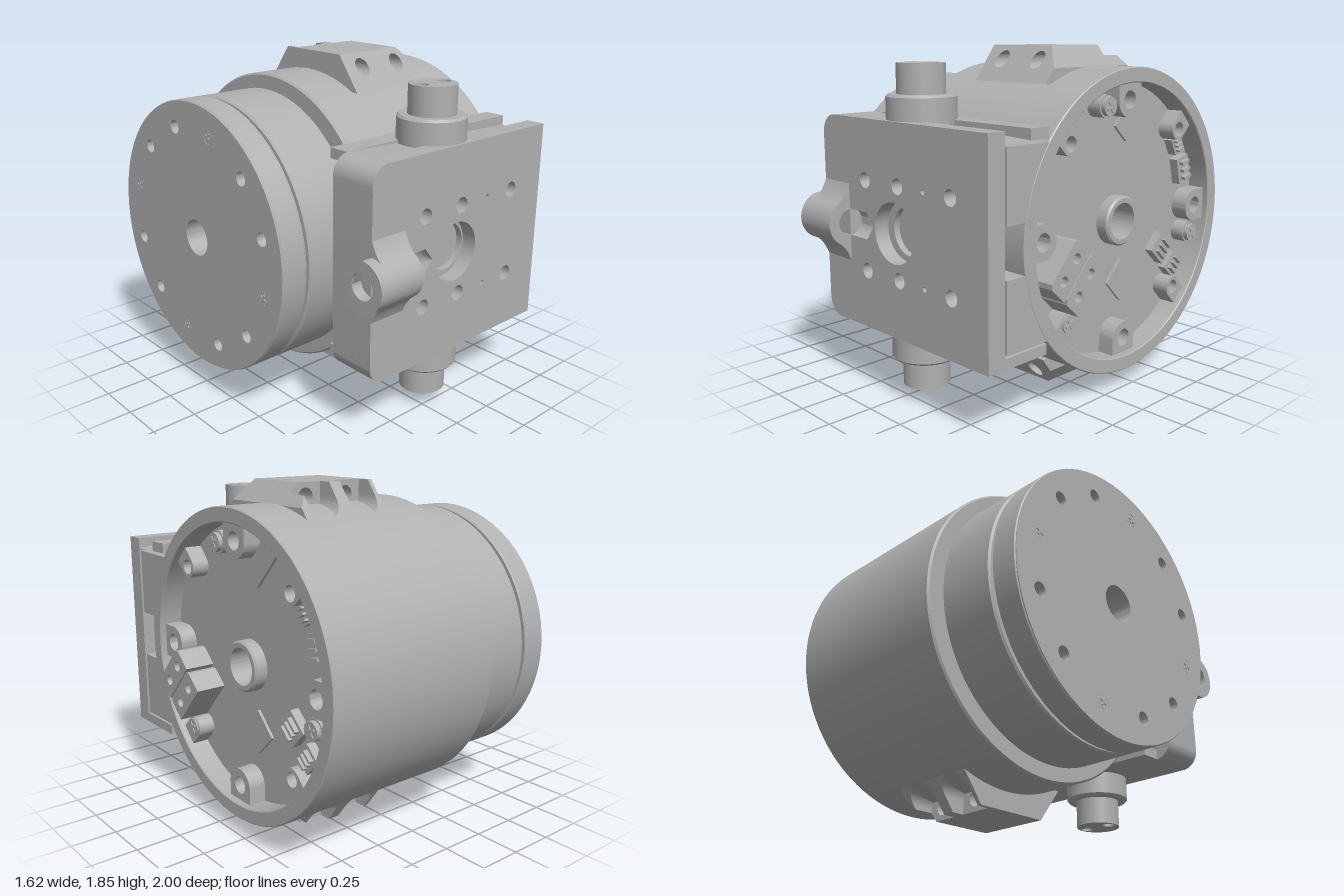
import * as THREE from 'three';
import { toCreasedNormals } from 'three/addons/utils/BufferGeometryUtils.js';

const CY = 0.925, CZ = -0.18;            // motor axis runs along x
const metal = new THREE.MeshStandardMaterial({ name: 'greyMetal', color: 0xb0b0b0, side: THREE.DoubleSide });

const V = (x, y) => new THREE.Vector2(x, y);
const poly = (pts) => new THREE.Shape(pts.map(([x, y]) => V(x, y)));
const circle = (x, y, r) => new THREE.Path().absarc(x, y, r, 0, Math.PI * 2, false);
const disc = (x, y, r) => new THREE.Shape().absarc(x, y, r, 0, Math.PI * 2, false);

function add(parent, name, geo, x = 0, y = 0, z = 0) {
  const m = new THREE.Mesh(toCreasedNormals(geo, 0.5), metal);
  m.name = name;
  m.position.set(x, y, z);
  parent.add(m);
  return m;
}
const extrude = (shape, depth) =>
  new THREE.ExtrudeGeometry(shape, { depth, bevelEnabled: false, curveSegments: 32 });
// shape drawn in (-z, y), swept from x0 to x1
const sweepX = (shape, x0, x1) => extrude(shape, x1 - x0).rotateY(Math.PI / 2).translate(x0, 0, 0);
// shape drawn in (x, y), swept from z0 to z1
const sweepZ = (shape, z0, z1) => extrude(shape, z1 - z0).translate(0, 0, z0);
// closed profile of [radius, x] turned about the x axis
const turnX = (pts) => new THREE.LatheGeometry(pts.map(([r, x]) => V(r, x)), 96).rotateZ(-Math.PI / 2);
const box = (x, y, z) => new THREE.BoxGeometry(x, y, z);

function screw(parent, x, y, z, r, dir = 1) {
  const g = new THREE.Group();
  g.name = 'screw';
  add(g, 'screwHead', new THREE.CylinderGeometry(r, r, 0.03, 20).rotateZ(Math.PI / 2));
  for (const a of [0.5, 0.5 + Math.PI / 2])
    add(g, 'screwCross', box(0.008, r * 1.3, r * 0.3), dir * 0.016).rotation.x = a;
  g.position.set(x, y, z);
  parent.add(g);
}

function buildMotor() {
  const g = new THREE.Group();
  g.name = 'motor';
  g.position.set(0, CY, CZ);
  add(g, 'housing', turnX([[0.1, -0.3], [0.81, -0.3], [0.82, -0.29], [0.82, 0.755], [0.815, 0.76], [0.745, 0.76],
    [0.74, 0.755], [0.74, 0.63], [0.135, 0.63], [0.135, 0.69], [0.125, 0.7], [0.1, 0.7], [0.1, -0.3]]));
  add(g, 'frontDrum', turnX([[0.1, -0.64], [0.73, -0.64], [0.74, -0.63], [0.74, -0.32], [0.73, -0.31], [0.1, -0.31], [0.1, -0.64]]));
  add(g, 'shaftSleeve', turnX([[0.1, -0.67], [0.115, -0.67], [0.115, -0.29], [0.1, -0.29], [0.1, -0.67]]));

  // output flange with a ring of bolt holes
  const face = disc(0, 0, 0.735);
  face.holes.push(circle(0, 0, 0.1));
  for (let i = 0; i < 12; i++) {
    const a = (i + 0.5) * Math.PI / 6, u = Math.cos(a) * 0.6, v = Math.sin(a) * 0.6;
    face.holes.push(circle(u, v, 0.037));
    if (i % 3 === 0) screw(g, -0.795, v, -u, 0.036, -1);
  }
  add(g, 'outputFlange', sweepX(face, -0.81, -0.66));
  add(g, 'flangeRim', turnX([[0.725, -0.81], [0.73, -0.81], [0.74, -0.8], [0.74, -0.67], [0.73, -0.66], [0.725, -0.66]]));

  // screw lugs around the inside of the rear rim
  for (let i = 0; i < 8; i++) {
    const w = i % 2 ? 0.06 : 0.092, r = 0.65;
    const s = new THREE.Shape();
    s.moveTo(0.735, -w);
    s.lineTo(0.735, w);
    s.lineTo(r, w);
    s.absarc(r, 0, w, Math.PI / 2, Math.PI * 1.5, false);
    s.holes.push(circle(r, 0, i % 2 ? 0.04 : 0.048));
    add(g, 'rimLug', sweepX(s, 0.62, 0.725)).rotation.x = i * Math.PI / 4;
  }
  return g;
}

// parts on the circuit board inside the rear recess: [z, y, height x, size y, size z, turn]
function buildBoard() {
  const g = new THREE.Group();
  g.name = 'circuitBoard';
  const put = (name, z, y, h, sy, sz, turn) => {
    const m = add(g, name, box(h, sy, sz), 0.63 + h / 2, y, z);
    m.rotation.x = turn;
    return m;
  };
  put('chipLong', -0.31, 1.49, 0.015, 0.28, 0.13, -0.75);
  put('chipSquare', -0.245, 0.575, 0.015, 0.17, 0.17, 0.78);
  const sockets = [[-0.77, 1.14, 0.15, 0.11, 0.25], [-0.69, 1.29, 0.1, 0.07, 0.5], [-0.58, 0.7, 0.13, 0.14, -0.75], [-0.7, 0.58, 0.12, 0.11, -0.75]];
  for (const [z, y, sy, sz, t] of sockets) {
    put('socketBase', z, y, 0.05, sy, sz, t);
    const pins = new THREE.Group();
    pins.name = 'socketPins';
    for (const k of [-1, 0, 1]) add(pins, 'pin', box(0.03, sy * 0.12, sz * 0.6), 0, k * sy * 0.3, 0);
    pins.position.set(0.69, y, z);
    pins.rotation.x = t;
    g.add(pins);
  }
  // twin power connector standing proud of the rim
  const c = new THREE.Group();
  c.name = 'powerConnector';
  for (const k of [-1, 1]) {
    const s = poly([[-0.145, -0.07], [0.145, -0.07], [0.145, 0.05], [0.125, 0.07], [-0.125, 0.07], [-0.145, 0.05]]);
    for (const u of [-0.068, 0.068]) {
      s.holes.push(circle(u, 0, 0.028));
      add(c, 'contact', new THREE.CylinderGeometry(0.013, 0.013, 0.13, 12).rotateZ(Math.PI / 2), 0.715, k * 0.074, -u);
    }
    const m = add(c, 'connectorHalf', sweepX(s, 0.63, 0.8), 0, k * 0.074, 0);
    if (k < 0) m.rotation.x = 0;
  }
  c.position.set(0, 0.73, 0.3);
  c.rotation.x = 0.83;
  g.add(c);
  for (const [z, y] of [[-0.01, 1.55], [0.28, 0.47], [-0.8, 0.765]]) screw(g, 0.72, y, z, 0.05);
  for (const [z, y] of [[-0.01, 1.55], [-0.8, 0.765]])
    add(g, 'screwPost', new THREE.CylinderGeometry(0.06, 0.06, 0.08, 20).rotateZ(Math.PI / 2), 0.67, y, z);
  return g;
}

// clamp saddle on top of the housing; faces slope outward toward the bottom
function buildSaddle() {
  const g = new THREE.Group();
  g.name = 'clampSaddle';
  const slope = (geo, zEdge, k) => {
    const p = geo.attributes.position;
    for (let i = 0; i < p.count; i++)
      if (Math.abs(p.getZ(i) - zEdge) < 1e-4) p.setZ(i, zEdge + k * (1.85 - p.getY(i)));
    geo.computeVertexNormals();
    return geo;
  };
  const body = poly([[-0.02, 1.66], [0.5, 1.66], [0.5, 1.74], [0.41, 1.85], [-0.02, 1.85]]);
  for (const x of [0.1, 0.36]) body.holes.push(circle(x, 1.777, 0.045));
  add(g, 'saddleBody', slope(sweepZ(body, -0.29, 0.08), 0.08, 0.75));

  // rear part with two round-bottomed pockets for bolt heads
  const rear = new THREE.Shape();
  rear.moveTo(-0.02, 1.62);
  rear.lineTo(0.5, 1.62);
  rear.lineTo(0.5, 1.74);
  rear.lineTo(0.455, 1.795);
  for (const x of [0.36, 0.1]) {
    rear.absarc(x, 1.777, 0.095, 0, -Math.PI, true);
    rear.lineTo(x - 0.095, 1.85);
    if (x > 0.2) rear.lineTo(0.195, 1.85);
  }
  rear.lineTo(-0.02, 1.85);
  add(g, 'boltPockets', slope(sweepZ(rear, -0.36, -0.29), -0.36, -0.75));
  return g;
}

// pivot pin with its collar
function buildPivot() {
  const g = new THREE.Group();
  g.name = 'pivot';
  const ring = [[0, 1.47], [0.18, 1.47], [0.18, 1.605], [0.168, 1.617], [0, 1.617]];
  add(g, 'pivotCollar', new THREE.LatheGeometry(ring.map(([r, y]) => V(r, y)), 64), 0.07, 0, 0.675);
  const pin = disc(0, 0, 0.125);
  for (const x of [-0.083, 0.083]) pin.holes.push(circle(x, 0, 0.034));
  add(g, 'pivotPin', extrude(pin, 0.16).rotateX(-Math.PI / 2), 0.07, 1.61, 0.675);
  return g;
}

function buildBracket() {
  const g = new THREE.Group();
  g.name = 'bracket';
  const yb = 0.37, yt = 1.49, xl = -0.53, xr = 0.76, r = 0.1;
  const outline = () => {
    const s = new THREE.Shape();
    s.moveTo(xr, yb);
    s.lineTo(xr, yt);
    s.absarc(xl + r, yt - r, r, Math.PI / 2, Math.PI, false);
    s.absarc(xl + r, yb + r, r, Math.PI, Math.PI * 1.5, false);
    s.holes.push(circle(0.07, 0.925, 0.16));
    for (const y of [1.17, 0.685]) {
      for (const x of [-0.165, 0.105, 0.505]) s.holes.push(circle(x, y, 0.042));
      s.holes.push(circle(0.305, y, 0.014));
    }
    return s;
  };
  add(g, 'plateBack', sweepZ(outline(), 0.765, 0.8));
  const front = outline();
  front.holes.push(poly([[-0.31, 0.855], [-0.16, 0.855], [-0.105, 0.93], [-0.16, 1.0], [-0.31, 1.0]]));
  add(g, 'plateFront', sweepZ(front, 0.8, 0.87));

  // drilled groove with a conical end
  const groove = (top, len) => new THREE.CylinderGeometry(top, 0.073, len, 24, 1, true, Math.PI / 2, Math.PI).rotateZ(-Math.PI / 2);
  add(g, 'groove', groove(0.073, 0.15), -0.235, 0.928, 0.87);
  add(g, 'grooveTip', groove(0, 0.055), -0.1325, 0.928, 0.87);

  // wall round the sides, open at the motor's rear
  const t = 0.055, wall = new THREE.Shape();
  wall.moveTo(xr, yt);
  wall.absarc(xl + r, yt - r, r, Math.PI / 2, Math.PI, false);
  wall.absarc(xl + r, yb + r, r, Math.PI, Math.PI * 1.5, false);
  wall.lineTo(xr, yb);
  wall.lineTo(xr, yb + t);
  wall.absarc(xl + r, yb + r, r - t, Math.PI * 1.5, Math.PI, true);
  wall.absarc(xl + r, yt - r, r - t, Math.PI, Math.PI / 2, true);
  wall.lineTo(xr, yt - t);
  add(g, 'bracketWall', sweepZ(wall, 0.6, 0.765));
  for (const y of [yt - t / 2, yb + t / 2]) add(g, 'bracketFlange', box(1.2, t, 0.12), 0.16, y, 0.54);

  // recessed ring behind the central opening
  const ring = disc(0.07, 0.925, 0.165);
  ring.holes.push(circle(0.09, 0.925, 0.13));
  add(g, 'openingRing', sweepZ(ring, 0.75, 0.785));

  // eyelet on the front left corner
  const eye = new THREE.Shape();
  eye.moveTo(-0.78, 1.135);
  eye.lineTo(-0.87, 1.135);
  eye.quadraticCurveTo(-0.9, 1.065, -0.935, 1.038);
  eye.absarc(-0.87, 0.925, 0.13, Math.PI * 2 / 3, Math.PI * 4 / 3, false);
  eye.quadraticCurveTo(-0.9, 0.785, -0.87, 0.715);
  eye.lineTo(-0.78, 0.715);
  eye.holes.push(circle(-0.87, 0.925, 0.07));
  add(g, 'eyelet', sweepX(eye, -0.53, -0.31));
  const end = new THREE.Shape();
  end.moveTo(-0.74, 1.055);
  end.absarc(-0.87, 0.925, 0.13, Math.PI / 2, Math.PI * 1.5, false);
  end.lineTo(-0.74, 0.795);
  end.holes.push(circle(-0.87, 0.925, 0.07));
  add(g, 'eyeletEnd', sweepX(end, -0.59, -0.53));
  return g;
}

// block joining housing and bracket, with a notch at the rear end
function buildMountBlock() {
  const g = new THREE.Group();
  g.name = 'mountBlock';
  const shape = (notch) => {
    const s = new THREE.Shape();
    s.moveTo(-0.75, 1.42);
    if (notch) for (const [u, v] of [[-0.75, 1.055], [-0.63, 1.055], [-0.63, 0.8], [-0.75, 0.8]]) s.lineTo(u, v);
    s.lineTo(-0.75, 0.435);
    s.absarc(0.18, CY, 0.78, Math.PI + 0.679, Math.PI - 0.679, true);
    return s;
  };
  add(g, 'blockBody', sweepX(shape(false), -0.29, 0.56));
  add(g, 'blockEnd', sweepX(shape(true), 0.56, 0.758));
  return g;
}

export function createModel() {
  const model = new THREE.Group();
  model.name = 'actuator';
  model.add(buildMotor(), buildBoard(), buildBracket(), buildMountBlock());
  for (const build of [buildSaddle, buildPivot]) {
    const lower = build();               // mirrored copy underneath
    lower.scale.y = -1;
    lower.position.y = 2 * CY;
    model.add(build(), lower);
  }
  return model;
}
